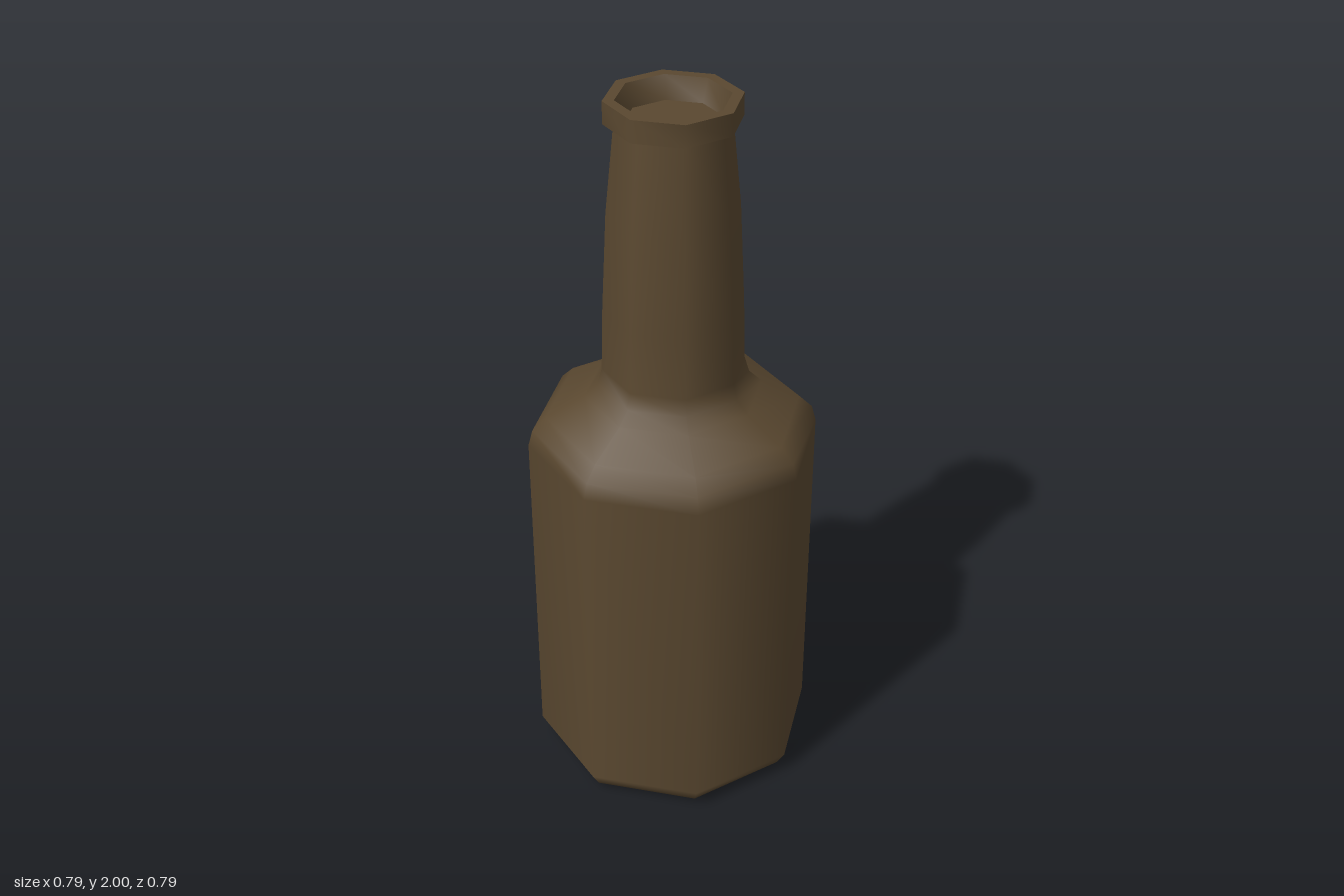
import * as THREE from 'three';
import { toCreasedNormals } from 'three/addons/utils/BufferGeometryUtils.js';

const SIDES = 8;

// Revolve a list of [radius, height] pairs, running from the bottom up the outside
function turned(name, profile, material, crease) {
  const points = profile.map(([r, y]) => new THREE.Vector2(r, y));
  let geometry = new THREE.LatheGeometry(points, SIDES);
  if (crease) geometry = toCreasedNormals(geometry, crease);
  const mesh = new THREE.Mesh(geometry, material);
  mesh.name = name;
  return mesh;
}

export function createModel() {
  const brownGlass = new THREE.MeshStandardMaterial({ color: 0x5a4830 });
  brownGlass.name = 'brownGlass';

  const bottle = new THREE.Group();
  bottle.name = 'bottle';

  // Base, straight body, sloping shoulder and tapering neck
  bottle.add(turned('bodyAndNeck', [
    [0, 0], [0.315, 0], [0.37, 0.022], [0.395, 0.065],
    [0.395, 1.03], [0.383, 1.075], [0.345, 1.113],
    [0.24, 1.172], [0.205, 1.205], [0.192, 1.25],
    [0.187, 1.42], [0.173, 1.7], [0.148, 1.95],
  ], brownGlass));

  // Sharp-edged lip with a shallow recess closed by a floor
  bottle.add(turned('lip', [
    [0.14, 1.94], [0.176, 1.94], [0.176, 2],
    [0.146, 2], [0.125, 1.94], [0, 1.94],
  ], brownGlass, 0.9));

  return bottle;
}
